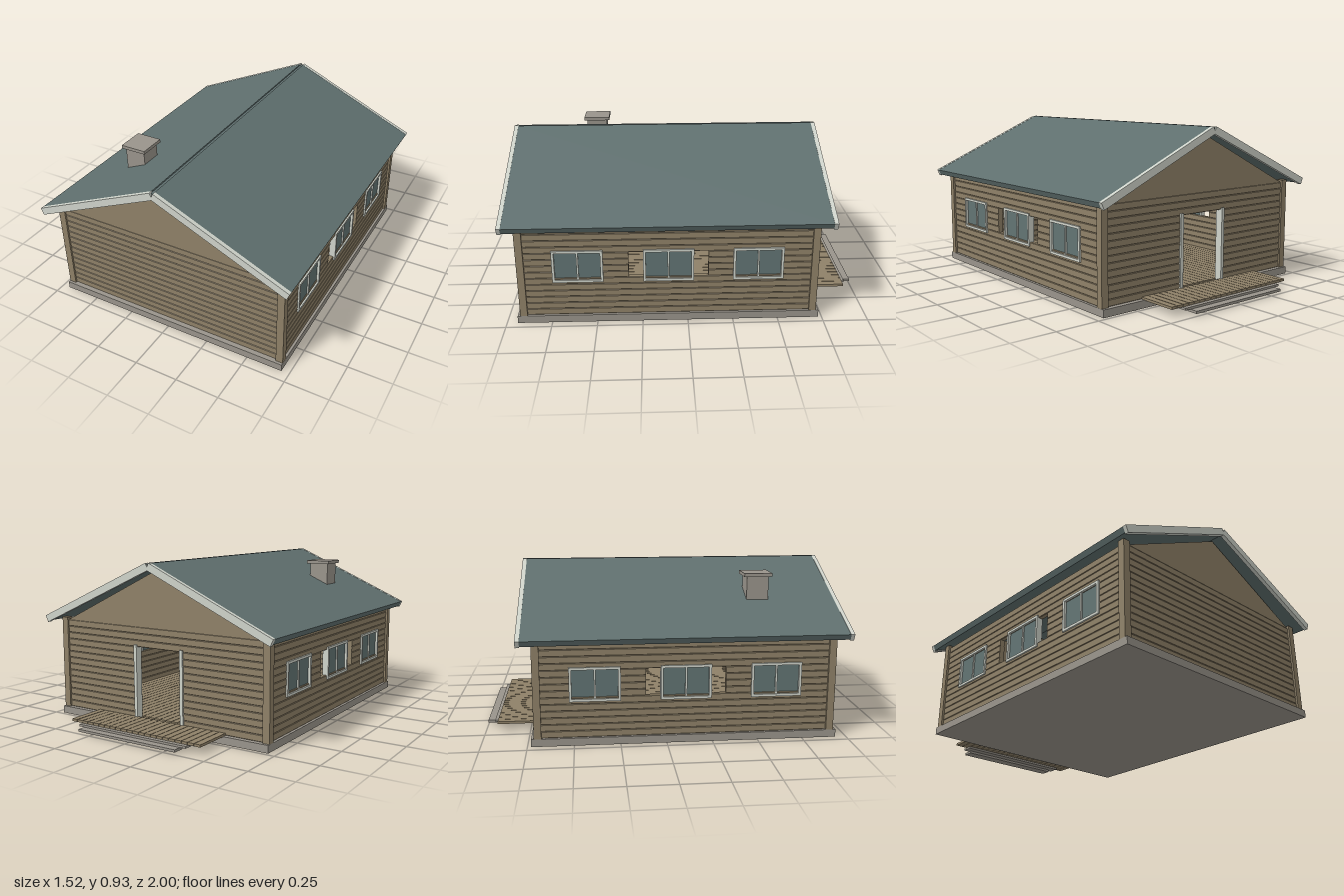
import * as THREE from 'three';

const paint = (name, color) => {
  const m = new THREE.MeshStandardMaterial({ color });
  m.name = name;
  return m;
};

export function createModel() {
  const wood = paint('timber', 0x8f8168);
  const stone = paint('stone', 0x99948b);
  const trim = paint('pale trim', 0xcfd3ca);
  const roofing = paint('slate roofing', 0x5f6f6e);
  const glass = paint('window glass', 0x627473);

  const house = new THREE.Group();
  house.name = 'cabin';
  const CZ = 0.105; // centre of the house body along z

  const group = (name, parent = house) => {
    const g = new THREE.Group();
    g.name = name;
    parent.add(g);
    return g;
  };
  // Box given by its minimum and maximum on each axis
  const box = (name, mat, [x0, x1], [y0, y1], [z0, z1], parent = house) => {
    const m = new THREE.Mesh(new THREE.BoxGeometry(x1 - x0, y1 - y0, z1 - z0), mat);
    m.position.set((x0 + x1) / 2, (y0 + y1) / 2, (z0 + z1) / 2);
    m.name = name;
    parent.add(m);
    return m;
  };

  // Foundation slab
  box('foundation', stone, [-0.705, 0.705], [0, 0.042], [CZ - 0.835, CZ + 0.835]);

  // Log with chamfered edges, running along local z, resting on y = 0
  const ROWS = 14, PITCH = 0.0374, BASE = 0.042, T = 0.015, C = 0.003;
  const profile = new THREE.Shape([
    [-T, C], [-T + C, 0], [T - C, 0], [T, C],
    [T, PITCH - C], [T - C, PITCH], [-T + C, PITCH], [-T, PITCH - C],
  ].map(([x, y]) => new THREE.Vector2(x, y)));
  const addLog = (parent, a, b, row) => {
    const geo = new THREE.ExtrudeGeometry(profile, { depth: b - a, bevelEnabled: false });
    const m = new THREE.Mesh(geo, wood);
    m.position.set(0, BASE + row * PITCH, a);
    m.name = 'log';
    parent.add(m);
  };
  // Wall of stacked logs; openings are [from, to, firstRow, lastRow]
  const logWall = (name, half, openings) => {
    const g = group(name);
    for (let row = 0; row < ROWS; row++) {
      let start = -half;
      for (const [a, b, r0, r1] of openings) {
        if (row < r0 || row > r1) continue;
        addLog(g, start, a, row);
        start = b;
      }
      addLog(g, start, half, row);
    }
    return g;
  };

  // Side walls, with a wide opening around the middle window
  const sideOpenings = [[-0.62, -0.36, 6, 9], [-0.217, 0.217, 6, 9], [0.365, 0.62, 6, 9]];
  for (const s of [1, -1]) {
    const wall = logWall(s > 0 ? 'leftWall' : 'rightWall', 0.8, sideOpenings);
    wall.position.set(s * 0.677, 0, CZ);
  }
  // End walls: the back one has a doorway
  const front = logWall('frontWall', 0.67, []);
  front.rotation.y = Math.PI / 2;
  front.position.z = CZ + 0.795;
  const back = logWall('backWall', 0.67, [[-0.16, 0.16, 0, 10]]);
  back.rotation.y = Math.PI / 2;
  back.position.z = CZ - 0.795;

  // Gable triangles
  const gable = new THREE.Shape([
    new THREE.Vector2(-0.665, 0.565), new THREE.Vector2(0.665, 0.565), new THREE.Vector2(0, 0.887),
  ]);
  for (const s of [1, -1]) {
    const m = new THREE.Mesh(new THREE.ExtrudeGeometry(gable, { depth: 0.03, bevelEnabled: false }), wood);
    m.position.z = CZ + s * 0.795 - 0.015;
    m.name = s > 0 ? 'frontGable' : 'backGable';
    house.add(m);
  }

  // Corner posts
  for (const sx of [1, -1]) for (const sz of [1, -1]) {
    const p = box('cornerPost', wood, [-0.0205, 0.0205], [0.042, 0.58], [-0.02, 0.02]);
    p.position.x = sx * 0.6835;
    p.position.z = CZ + sz * 0.8;
  }

  // Windows: frame, mullion and two panes
  const addWindow = (side, z) => {
    const g = group('window');
    const w = 0.138, y0 = 0.243, y1 = 0.431, f = 0.014, d = [-0.018, 0.018];
    for (const s of [-1, 1]) {
      box('frameRail', trim, d, s < 0 ? [y0, y0 + f] : [y1 - f, y1], [-w, w], g);
      box('frameStile', trim, d, [y0 + f, y1 - f], s < 0 ? [-w, -w + f] : [w - f, w], g);
      box('pane', glass, [-0.004, 0.004], [y0 + f, y1 - f], s < 0 ? [-w + f, -0.005] : [0.005, w - f], g);
    }
    box('mullion', trim, [-0.012, 0.012], [y0 + f, y1 - f], [-0.005, 0.005], g);
    g.position.set(side * 0.683, 0, z);
  };
  for (const side of [1, -1]) for (const z of [0.598, CZ, -0.385]) addWindow(side, z);

  // Door jambs at the back
  for (const s of [1, -1]) {
    const j = box('doorJamb', trim, [-0.01, 0.01], [0.042, 0.465], [-0.714, -0.67]);
    j.position.x = s * 0.157;
  }

  // Floor planks and back deck, boards running along z
  const planks = (name, half, count, y, z) => {
    const g = group(name);
    const p = (2 * half) / count;
    for (let i = 0; i < count; i++) {
      const x = -half + i * p;
      box('plank', wood, [x + 0.0015, x + p - 0.0015], y, z, g);
    }
  };
  planks('floor', 0.66, 33, [0.042, 0.05], [CZ - 0.78, CZ + 0.78]);
  planks('deck', 0.436, 22, [0.04, 0.054], [-0.935, -0.705]);

  // Steps down from the deck
  box('upperStep', stone, [-0.36, 0.36], [0.027, 0.039], [-0.957, -0.89]);
  box('lowerStep', stone, [-0.325, 0.325], [0.013, 0.027], [-1, -0.935]);

  // Roof: tilted slabs and pale boards along the gable edges
  const PITCH_ANGLE = Math.atan2(0.335, 0.752), LEN = 0.823;
  for (const s of [1, -1]) {
    const slope = group(s > 0 ? 'leftRoof' : 'rightRoof');
    slope.position.set(s * 0.01, 0.928, 0);
    slope.rotation.z = -s * PITCH_ANGLE;
    const span = s > 0 ? [0, LEN] : [-LEN, 0];
    box('roofSlab', roofing, span, [-0.034, -0.001], [-0.77, 0.98], slope);
    box('frontRakeBoard', trim, span, [-0.041, 0], [0.978, 1], slope);
    box('backRakeBoard', trim, span, [-0.041, 0], [-0.792, -0.769], slope);
  }
  box('ridgeStrip', roofing, [-0.01, 0.01], [0.9, 0.922], [-0.785, 0.99]);

  // Chimney
  box('chimneyStack', stone, [-0.445, -0.325], [0.68, 0.867], [0.477, 0.6]);
  box('chimneyCap', stone, [-0.46, -0.31], [0.864, 0.883], [0.46, 0.617]);

  return house;
}
